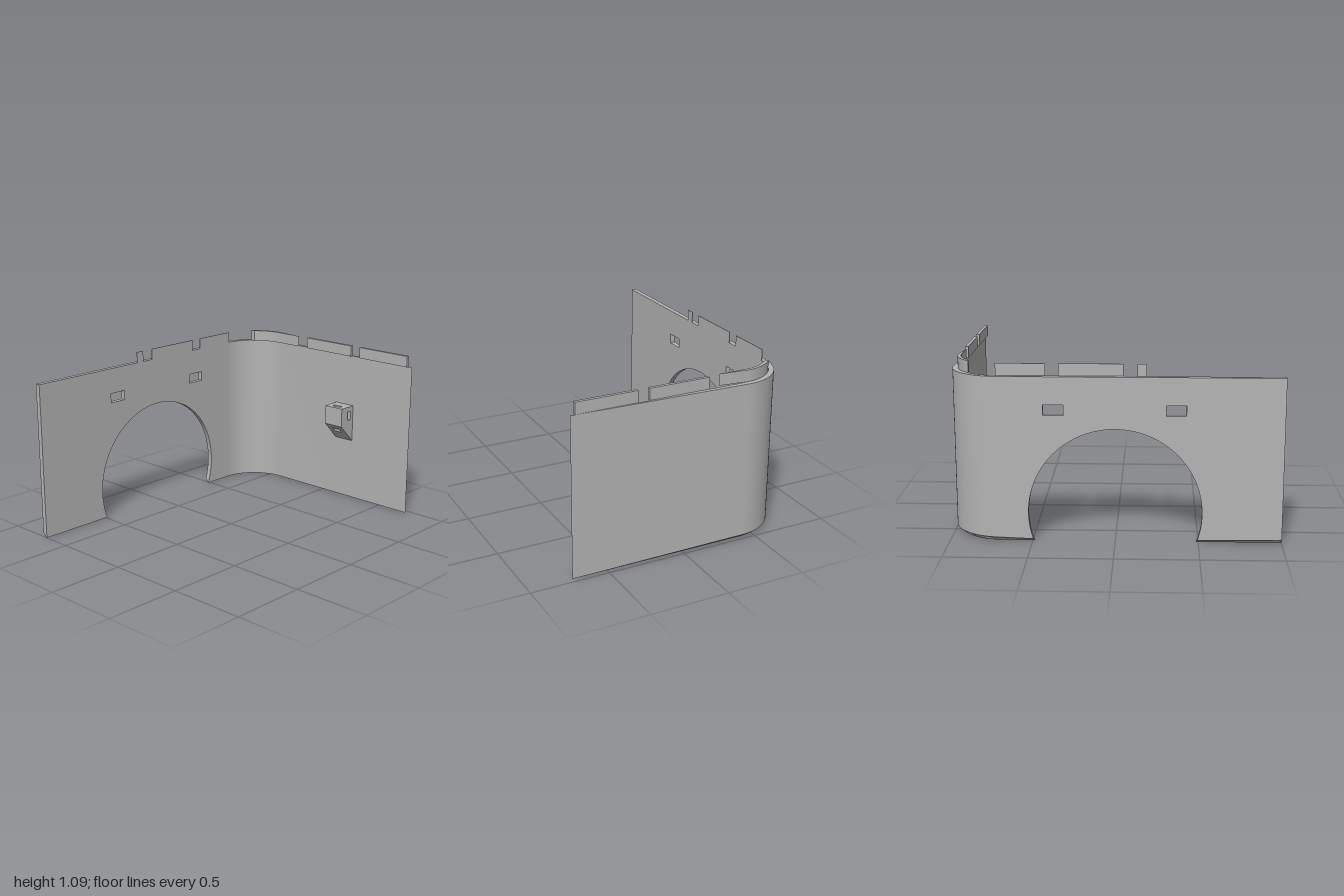
import * as THREE from 'three';
import { toCreasedNormals } from 'three/addons/utils/BufferGeometryUtils.js';

const X0 = -0.723, X1 = 0.723, Z0 = -1, Z1 = 1; // outer extents
const H = 1.018, T = 0.033, R = 0.31, TAB_TOP = 1.091, TAB_T = 0.021, BEVEL = 0.028;
const CX = X0 + R, CZ = Z0 + R, RI = R - T; // corner bend
const ARCH_R = 0.52, ARCH_Y = 0.184;

export function createModel() {
  const group = new THREE.Group();
  const grey = new THREE.MeshStandardMaterial({ color: 0xb4b4b4 });

  const add = (name, geometry) => {
    const mesh = new THREE.Mesh(toCreasedNormals(geometry, 0.4), grey);
    mesh.name = name;
    group.add(mesh);
  };
  const box = (name, x0, x1, y0, y1, z0, z1) => add(name,
    new THREE.BoxGeometry(x1 - x0, y1 - y0, z1 - z0).translate((x0 + x1) / 2, (y0 + y1) / 2, (z0 + z1) / 2));
  const extrude = (shape, depth) =>
    new THREE.ExtrudeGeometry(shape, { depth, bevelEnabled: false, curveSegments: 48 });
  // Plan outline (x, -z) raised along y
  const raise = (shape, y0, y1) => extrude(shape, y1 - y0).rotateX(-Math.PI / 2).translate(0, y0, 0);
  // Side outline (-z, y) thickened along x
  const thicken = (shape, x0, x1) => extrude(shape, x1 - x0).rotateY(Math.PI / 2).translate(x0, 0, 0);
  const rect = (C, a0, a1, b0, b1) => new C([[a0, b0], [a1, b0], [a1, b1], [a0, b1]].map(p => new THREE.Vector2(...p)));

  // Slants the bottom edge upwards along the outer skin
  const slantBottom = (geometry) => {
    const p = geometry.attributes.position;
    for (let i = 0; i < p.count; i++) {
      const z = p.getZ(i);
      const d = Math.hypot(Math.max(CX - p.getX(i), 0), Math.max(CZ - z, 0));
      const outer = z > CZ - 0.001 ? p.getX(i) < X0 + 0.01 : d > R - 0.01;
      if (!outer || p.getY(i) > 0.001) continue;
      p.setY(i, BEVEL);
      if (Math.abs(z) < 0.5) p.setZ(i, Math.sign(z) * Math.sqrt(ARCH_R ** 2 - (BEVEL - ARCH_Y) ** 2));
    }
    return geometry;
  };

  // Side wall with the round arch and two slots
  const a = Math.asin(ARCH_Y / ARCH_R), half = ARCH_R * Math.cos(a);
  const side = new THREE.Shape();
  side.moveTo(-Z1, 0);
  side.lineTo(-half, 0);
  side.absarc(0, ARCH_Y, ARCH_R, Math.PI + a, -a, true);
  side.lineTo(-CZ, 0);
  side.lineTo(-CZ, H);
  side.lineTo(-Z1, H);
  side.holes.push(rect(THREE.Path, -0.42, -0.302, 0.787, 0.85), rect(THREE.Path, 0.304, 0.425, 0.787, 0.85));
  add('sideWall', slantBottom(thicken(side, X0, X0 + T)));

  // Rounded corner and back wall
  const back = new THREE.Shape();
  back.moveTo(X1, -Z0);
  back.absarc(CX, -CZ, R, Math.PI / 2, Math.PI, false);
  back.absarc(CX, -CZ, RI, Math.PI, Math.PI / 2, true);
  back.lineTo(X1, -Z0 - T);
  add('backWall', slantBottom(raise(back, 0, H)));

  // Tabs along the top of the back wall; the first follows the bend
  const rt = RI - TAB_T, cut = 0.184;
  const bent = new THREE.Shape();
  bent.moveTo(-0.233, -CZ + RI);
  bent.absarc(CX, -CZ, RI, Math.PI / 2, Math.PI - Math.asin(cut / RI), false);
  bent.absarc(CX, -CZ, rt, Math.PI - Math.asin(cut / rt), Math.PI / 2, true);
  bent.lineTo(-0.233, -CZ + rt);
  add('cornerTab', raise(bent, H, TAB_TOP));
  for (const [x0, x1] of [[-0.157, 0.231], [0.304, 0.694]])
    box('backTab', x0, x1, H, TAB_TOP, Z0 + T, Z0 + T + TAB_T);

  // Very thin tabs along the top of the side wall
  for (const [z0, z1] of [[0.13, 0.185], [-0.335, 0.05], [-0.705, -0.41]])
    box('sideTab', X0 + T - 0.001, X0 + T + 0.003, H, TAB_TOP, z0, z1);

  // Bracket with a sloped underside, a cross slot and an upright slot
  const zw = Z0 + T, zf = -0.842, top = 0.668, slopeY = z => 0.54 - (zf - z);
  const bracketSlice = (x0, x1, z0, z1, slotted) => {
    const s = new THREE.Shape();
    s.moveTo(-z1, slopeY(z1));
    s.lineTo(-z0, slopeY(z0));
    s.lineTo(-z0, top);
    s.lineTo(-z1, top);
    if (slotted) s.holes.push(rect(THREE.Path, 0.907, 0.94, 0.572, 0.634));
    add('bracket', thicken(s, x0, x1));
  };
  bracketSlice(0.104, 0.143, zw, zf, true);
  bracketSlice(0.143, 0.207, zw, -0.901, true);
  bracketSlice(0.143, 0.207, -0.873, zf, false);
  bracketSlice(0.207, 0.249, zw, zf, true);

  return group;
}
